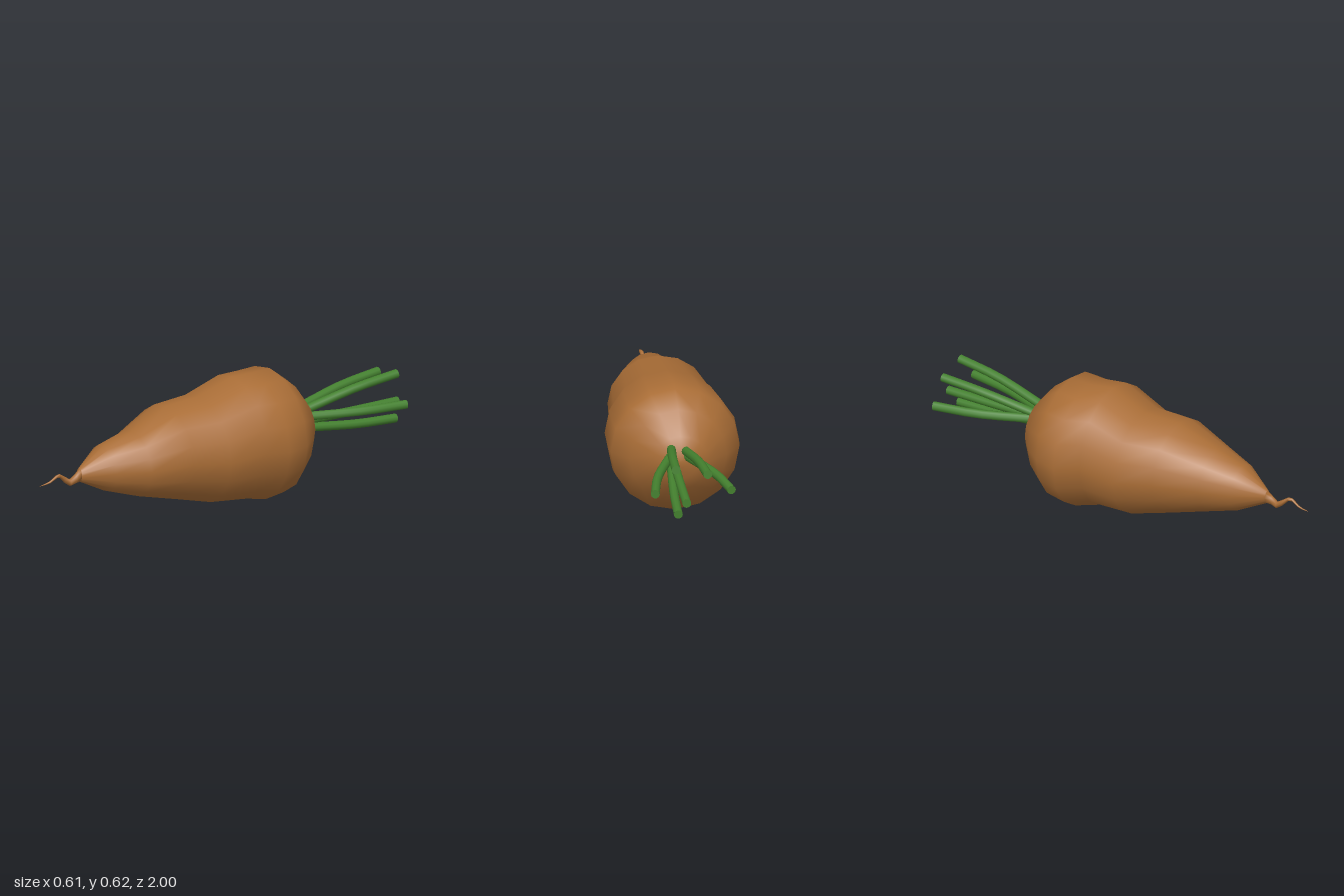
import * as THREE from 'three';

const rootSkin = new THREE.MeshStandardMaterial({ color: 0xa96d36 });
rootSkin.name = 'rootSkin';
const stemGreen = new THREE.MeshStandardMaterial({ color: 0x44812f });
stemGreen.name = 'stemGreen';

// Smooth skin through elliptical rings [z, left x, right x, bottom y, top y], back to front
function loft(rings, sides) {
  const pos = [], index = [];
  for (const [z, x0, x1, y0, y1] of rings) {
    for (let j = 0; j < sides; j++) {
      const t = (j / sides) * Math.PI * 2;
      pos.push((x0 + x1) / 2 + ((x1 - x0) / 2) * Math.cos(t),
        (y0 + y1) / 2 + ((y1 - y0) / 2) * Math.sin(t), z);
    }
  }
  for (let i = 0; i < rings.length - 1; i++) {
    for (let j = 0; j < sides; j++) {
      const a = i * sides + j, b = i * sides + (j + 1) % sides;
      index.push(a, b, a + sides, b, b + sides, a + sides);
    }
  }
  // close both ends
  const last = (rings.length - 1) * sides;
  for (let j = 1; j < sides - 1; j++) {
    index.push(0, j + 1, j, last, last + j, last + j + 1);
  }
  const g = new THREE.BufferGeometry();
  g.setAttribute('position', new THREE.Float32BufferAttribute(pos, 3));
  g.setIndex(index);
  g.computeVertexNormals();
  return g;
}

// Bent round stem with a flat cut end
function makeStem(start, end) {
  const a = new THREE.Vector3(...start), b = new THREE.Vector3(...end);
  const mid = a.clone().lerp(b, 0.55);
  mid.x += (b.x - a.x) * 0.15;
  mid.y += (b.y - a.y) * 0.15;
  const curve = new THREE.CatmullRomCurve3([a, mid, b]);
  const r = 0.021;
  const group = new THREE.Group();
  group.name = 'stem';
  const tube = new THREE.Mesh(new THREE.TubeGeometry(curve, 6, r, 10), stemGreen);
  tube.name = 'stemStalk';
  const cap = new THREE.Mesh(new THREE.CircleGeometry(r, 10), stemGreen);
  cap.name = 'stemCutEnd';
  cap.position.copy(b);
  cap.quaternion.setFromUnitVectors(new THREE.Vector3(0, 0, 1), curve.getTangent(1));
  group.add(tube, cap);
  return group;
}

export function createModel() {
  const model = new THREE.Group();
  model.name = 'rootVegetable';

  // Swollen root, from the rounded crown to the narrow end
  const root = new THREE.Mesh(loft([
    [-0.508, -0.02, 0.02, 0.30, 0.34],
    [-0.497, -0.075, 0.075, 0.24, 0.39],
    [-0.47, -0.13, 0.13, 0.18, 0.44],
    [-0.39, -0.225, 0.225, 0.08, 0.54],
    [-0.30, -0.295, 0.302, 0.015, 0.61],
    [-0.20, -0.307, 0.304, 0.0, 0.605],
    [-0.08, -0.272, 0.302, 0.03, 0.615],
    [0.10, -0.266, 0.258, 0.045, 0.55],
    [0.29, -0.23, 0.24, 0.10, 0.545],
    [0.49, -0.145, 0.175, 0.155, 0.465],
    [0.64, -0.105, 0.11, 0.205, 0.425],
    [0.775, -0.022, 0.022, 0.275, 0.34],
  ], 16), rootSkin);
  root.name = 'root';
  model.add(root);

  // Thin wavy root tail
  const tail = new THREE.Mesh(loft([
    [0.77, -0.022, 0.022, 0.275, 0.34],
    [0.80, -0.012, 0.018, 0.272, 0.318],
    [0.83, -0.014, 0.014, 0.265, 0.297],
    [0.86, -0.016, 0.008, 0.287, 0.318],
    [0.89, -0.006, 0.012, 0.318, 0.337],
    [0.91, 0.0, 0.014, 0.321, 0.335],
    [0.945, -0.002, 0.008, 0.302, 0.312],
    [0.97, -0.003, 0.004, 0.298, 0.304],
    [1.0, -0.001, 0.001, 0.297, 0.299],
  ], 8), rootSkin);
  tail.name = 'rootTail';
  model.add(tail);

  // Cut green stems fanning out of the crown
  const stems = new THREE.Group();
  stems.name = 'stems';
  const paths = [
    [[0.05, 0.35, -0.485], [0.18, 0.35, -0.95]],
    [[0.045, 0.385, -0.485], [0.085, 0.47, -0.965]],
    [[-0.02, 0.375, -0.485], [-0.062, 0.44, -0.965]],
    [[-0.025, 0.35, -0.485], [-0.175, 0.35, -0.942]],
    [[0.035, 0.325, -0.485], [0.04, 0.316, -1.0]],
    [[0.045, 0.295, -0.485], [0.075, 0.25, -0.965]],
  ];
  for (const [start, end] of paths) stems.add(makeStem(start, end));
  model.add(stems);

  return model;
}
